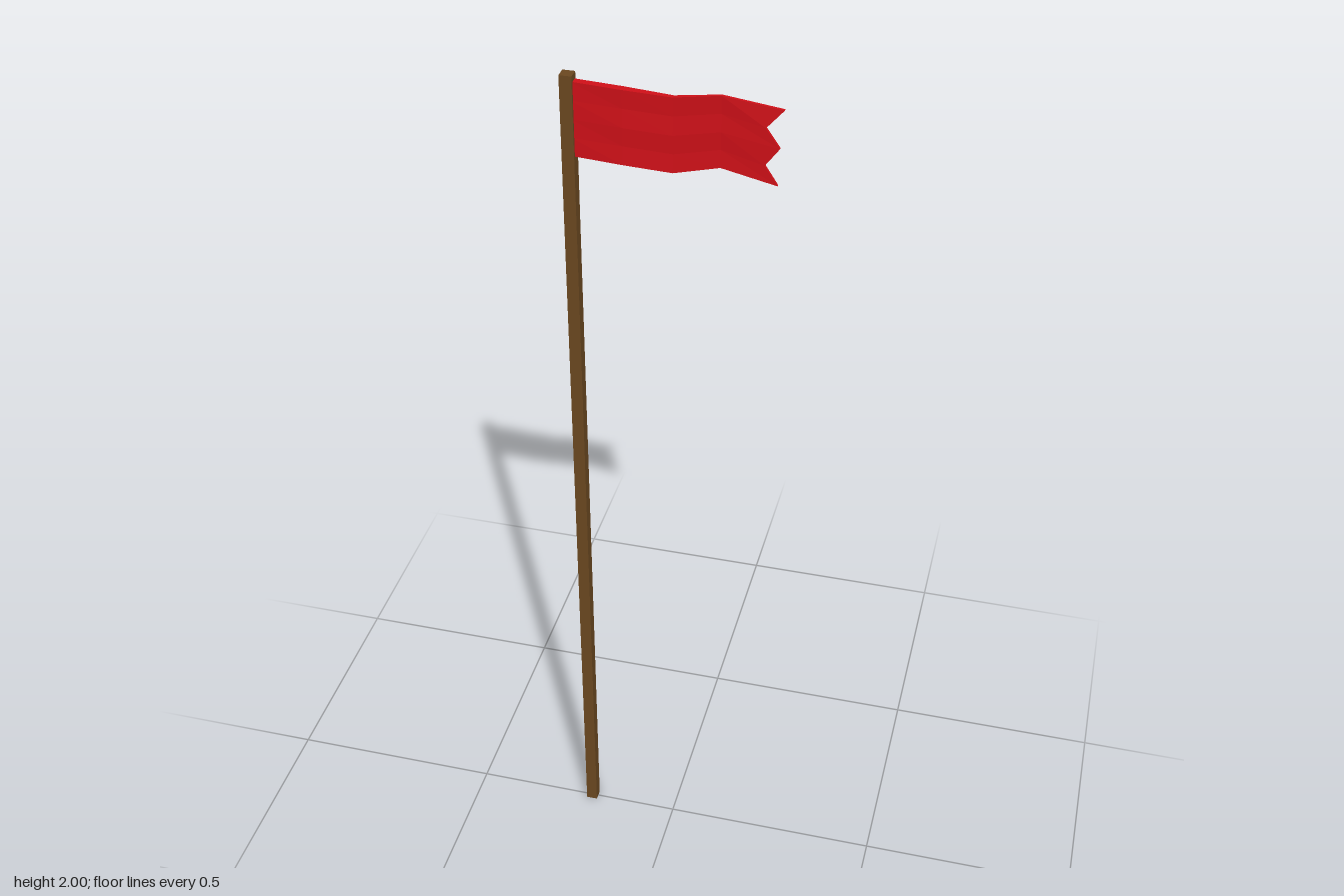
import * as THREE from 'three';

const ROWS = 5;

// Flag cross-sections along x: [x, top y, bottom y, front z, back z]
const SECTIONS = [
  [-0.205, 1.987, 1.828, 0.008, -0.008],
  [-0.1, 1.982, 1.822, 0.009, -0.008],
  [0.0, 1.976, 1.815, 0.004, -0.006],
  [0.095, 1.99, 1.838, 0.002, -0.004],
  [0.19, 1.975, 1.816, 0.007, 0.001],
];
// Swallow-tail end: x offset of each row from the last section
const TAIL = [0.028, -0.007, 0.022, -0.007, 0.02];

function createFlagGeometry() {
  const points = [];
  const index = [];
  const ring = ROWS * 2;
  const last = SECTIONS.length - 1;

  // Each ring runs down the front sheet and back up the rear sheet
  SECTIONS.forEach(([x, top, bottom, front, back], i) => {
    for (let k = 0; k < ring; k++) {
      const isFront = k < ROWS;
      const row = isFront ? k : ring - 1 - k;
      const y = THREE.MathUtils.lerp(top, bottom, row / (ROWS - 1));
      const fold = i > 0 && row % 2 ? -0.0015 : 0;
      const tipX = i === last ? TAIL[row] : 0;
      const tipZ = i === last && row === 0 ? -0.004 : 0;
      points.push(x + tipX, y, (isFront ? front : back) + fold + tipZ);
    }
  });

  const quad = (a, b, c, d) => index.push(a, b, c, a, c, d);
  for (let i = 0; i < last; i++) {
    for (let k = 0; k < ring; k++) {
      const a = i * ring + k;
      const b = i * ring + ((k + 1) % ring);
      quad(a, b, b + ring, a + ring);
    }
  }
  // Close the notched free edge
  const end = last * ring;
  for (let j = 0; j < ROWS - 1; j++) {
    quad(end + j, end + j + 1, end + ring - 2 - j, end + ring - 1 - j);
  }

  const geometry = new THREE.BufferGeometry();
  geometry.setAttribute('position', new THREE.Float32BufferAttribute(points, 3));
  geometry.setIndex(index);
  geometry.computeVertexNormals();
  return geometry;
}

export function createModel() {
  const group = new THREE.Group();
  group.name = 'flagOnPole';

  // Square wooden pole
  const pole = new THREE.Mesh(
    new THREE.BoxGeometry(0.026, 2, 0.026),
    new THREE.MeshStandardMaterial({ color: 0x6b4820, flatShading: true })
  );
  pole.name = 'pole';
  pole.position.set(-0.211, 1, 0);
  group.add(pole);

  // Rippled pennant
  const flag = new THREE.Mesh(
    createFlagGeometry(),
    new THREE.MeshStandardMaterial({ color: 0xd01018, flatShading: true, side: THREE.DoubleSide })
  );
  flag.name = 'flag';
  group.add(flag);

  return group;
}
